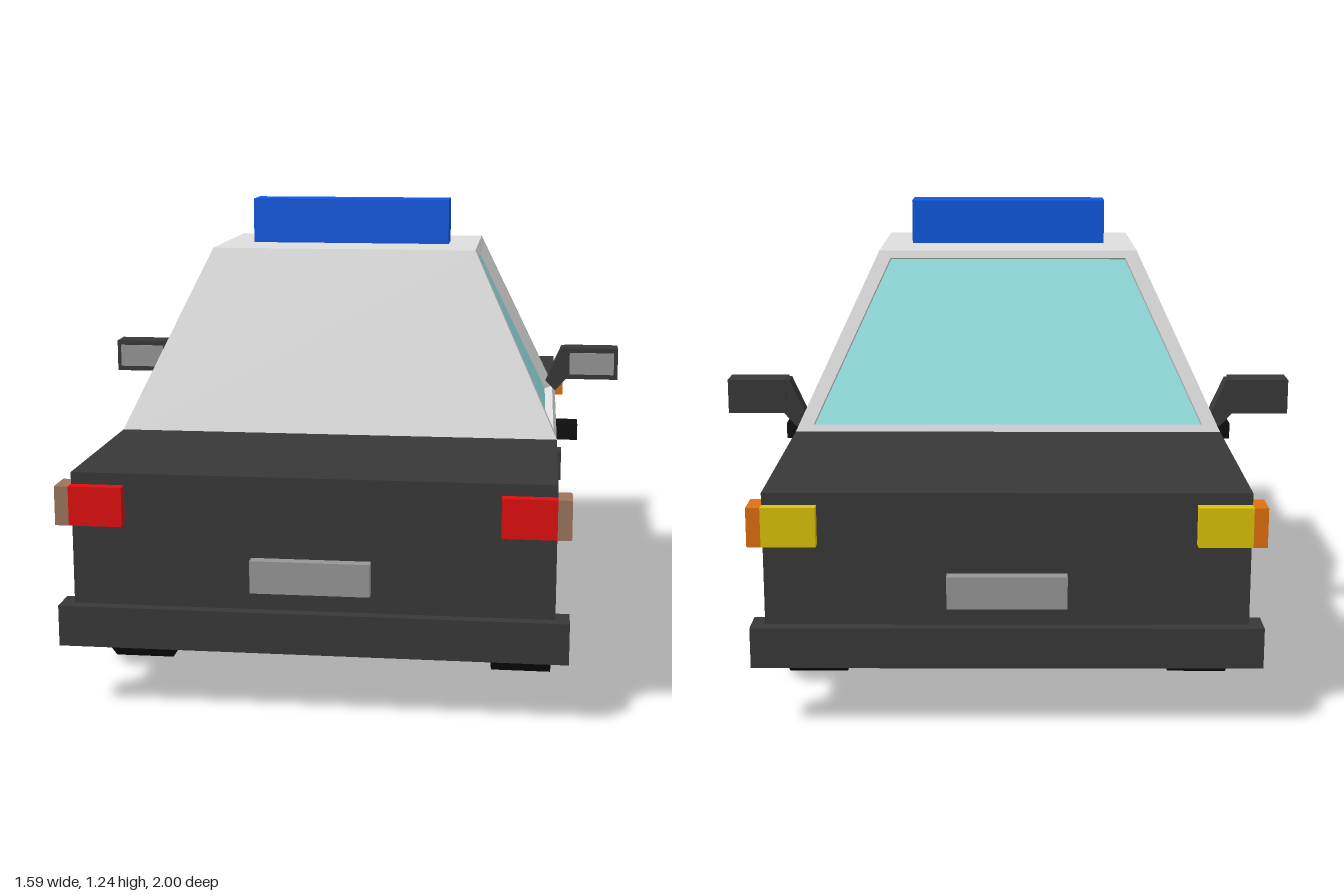
import * as THREE from 'three';

const mat = (name, color) => {
  const m = new THREE.MeshStandardMaterial({ color });
  m.name = name;
  return m;
};

export function createModel() {
  const car = new THREE.Group();
  car.name = 'patrolCar';
  const dark = mat('darkPaint', 0x383838), white = mat('whitePaint', 0xdedede);
  const glass = mat('windowGlass', 0x96e6e6), black = mat('tyreBlack', 0x0e0e0e);
  const red = mat('tailRed', 0xe00e0e), blue = mat('beaconBlue', 0x0e58e0);
  const orange = mat('indicatorOrange', 0xe0700e), yellow = mat('headlightYellow', 0xdcc408);
  const tan = mat('markerTan', 0x9c745c), grey = mat('plateGrey', 0x969696);

  const add = (name, geo, material) => {
    const m = new THREE.Mesh(geo, material);
    m.name = name;
    car.add(m);
    return m;
  };
  // Box given by its limits on each axis
  const box = (name, material, x0, x1, y0, y1, z0, z1) => {
    const g = new THREE.BoxGeometry(Math.abs(x1 - x0), y1 - y0, Math.abs(z1 - z0));
    g.translate((x0 + x1) / 2, (y0 + y1) / 2, (z0 + z1) / 2);
    return add(name, g, material);
  };
  const shape = pts => new THREE.Shape(pts.map(p => new THREE.Vector2(p[0], p[1])));
  // Side profile in (z, y), extruded across x from x0 to x1 on the given side
  const slab = (name, material, pts, side, x0, x1) => {
    const g = new THREE.ExtrudeGeometry(shape(pts), { depth: x1 - x0, bevelEnabled: false });
    g.rotateY(-Math.PI / 2);
    g.translate(side > 0 ? x1 : -x0, 0, 0);
    return add(name, g, material);
  };

  const W = 0.605, IN = 0.42, L = 0.97, FLOOR = 0.2, BELT = 0.61, AXLE = 0.535;

  // Wheel arch outline, running from +z to -z
  const arch = (zc, grow = 0) =>
    [[0.24, 0], [0.24, 0.1], [0.155, 0.225], [0, 0.275], [-0.155, 0.225], [-0.24, 0.1], [-0.24, 0]]
      .map(([z, y]) => [zc + z * (1 + grow), FLOOR + y * (1 + grow)]);
  const rearArch = arch(AXLE), frontArch = arch(-AXLE);

  // Lower body core and floor
  box('bodyCore', dark, -IN, IN, FLOOR, BELT, -L, L);
  box('floor', white, -IN, IN, FLOOR - 0.004, FLOOR, -L, L);

  for (const s of [1, -1]) {
    // Fenders and white door panel
    slab('rearFender', dark, [[L, FLOOR], [L, BELT], [0.45, BELT], ...rearArch.slice(0, 4).reverse()], s, IN, W);
    slab('door', white, [[0.45, BELT], ...rearArch.slice(3), ...frontArch.slice(0, 3).reverse()
      .reverse(), [-0.32, BELT]], s, IN, W);
    slab('frontFender', dark, [[-0.32, BELT], ...frontArch.slice(2), [-L, FLOOR], [-L, BELT]], s, IN, W);

    for (const e of [1, -1]) {
      const zc = e * AXLE;
      // Wheel well lining and underside strip at the bumper
      slab('wheelWellWall', white, arch(zc), s, IN, IN + 0.004);
      slab('wheelWellLiner', white, [...arch(zc), ...arch(zc, -0.015).reverse()], s, IN, W + 0.001);
      box('endFloor', white, s * IN, s * W, FLOOR - 0.004, FLOOR, e * 0.775, e * L);

      // Tyre
      const tyre = new THREE.CylinderGeometry(0.22, 0.22, 0.16, 10).toNonIndexed();
      tyre.computeVertexNormals();
      tyre.rotateZ(Math.PI / 2);
      tyre.translate(s * 0.52, 0.209, zc);
      add('tyre', tyre, black);

      // Five flared spokes and a hub cap
      const petal = [[-0.016, 0.05], [0.016, 0.05], [0.042, 0.14], [0.024, 0.165], [-0.024, 0.165], [-0.042, 0.14]];
      for (let i = 0; i < 5; i++) {
        const a = Math.PI + i * Math.PI * 2 / 5, c = Math.cos(a), n = Math.sin(a);
        slab('spoke', dark, petal.map(([x, y]) => [zc + x * c - y * n, 0.209 + x * n + y * c]), s, 0.599, 0.605);
      }
      const hub = [...Array(10).keys()].map(i => [zc + 0.028 * Math.cos(i * Math.PI / 5), 0.209 + 0.028 * Math.sin(i * Math.PI / 5)]);
      slab('hubCap', dark, hub, s, 0.599, 0.605);

      // Corner lamps with wrap-around markers
      box(e > 0 ? 'tailLight' : 'headlight', e > 0 ? red : yellow, s * 0.47, s * W, 0.48, 0.58, e * 0.965, e);
      box('sideMarker', e > 0 ? tan : orange, s * W, s * 0.64, 0.48, 0.58, e * 0.92, e);
    }

    // Door handle
    box('doorHandle', black, s * 0.6, s * 0.67, 0.523, 0.57, -0.04, 0.043);

    // Wing mirror: slanted stem, housing and reflector
    const stem = new THREE.ExtrudeGeometry(
      shape([[0.575, 0.65], [0.605, 0.62], [0.64, 0.66], [0.64, 0.755], [0.622, 0.755]].map(([x, y]) => [s * x, y])),
      { depth: 0.06, bevelEnabled: false });
    stem.translate(0, 0, -0.298);
    add('mirrorStem', stem, dark);
    box('mirrorHousing', dark, s * 0.632, s * 0.797, 0.66, 0.757, -0.302, -0.224);
    box('mirrorGlass', grey, s * 0.648, s * 0.785, 0.675, 0.743, -0.224, -0.22);
  }

  // Bumpers and plates at both ends
  for (const e of [1, -1]) {
    box('bumper', dark, -0.64, 0.64, 0.165, 0.27, e * 0.92, e);
    box('plate', grey, -0.15, 0.15, 0.32, 0.403, e * 0.965, e);
  }

  // Cabin built from four sloping panels, three with recessed windows
  const V = (x, y, z) => new THREE.Vector3(x, y, z);
  const base = [V(-W, BELT, 0.45), V(W, BELT, 0.45), V(W, BELT, -0.32), V(-W, BELT, -0.32)];
  const roof = [V(-0.37, 1.11, 0.303), V(0.37, 1.11, 0.303), V(0.37, 1.11, -0.173), V(-0.37, 1.11, -0.173)];
  const quads = (name, material, list) => {
    const pts = list.flatMap(([a, b, c, d]) => [a, b, c, a, c, d]);
    const g = new THREE.BufferGeometry().setFromPoints(pts);
    g.computeVertexNormals();
    return add(name, g, material);
  };
  quads('roof', white, [roof]);
  const names = ['rearPanel', 'leftWindow', 'windshield', 'rightWindow'];
  names.forEach((name, i) => {
    const j = (i + 1) % 4;
    const outer = [base[i], base[j], roof[j], roof[i]];
    if (i === 0) {
      quads(name, white, [outer]);
      return;
    }
    const across = base[j].clone().sub(base[i]).normalize();
    const normal = across.clone().cross(roof[i].clone().sub(base[i])).normalize();
    const at = (k, v, d) => base[k].clone().lerp(roof[k], v).addScaledVector(across, d);
    const hole = [at(i, 0.04, 0.042), at(j, 0.04, -0.042), at(j, 0.96, -0.042), at(i, 0.96, 0.042)];
    const pane = hole.map(p => p.clone().addScaledVector(normal, -0.025));
    const ring = (a, b) => a.map((p, k) => [p, a[(k + 1) % 4], b[(k + 1) % 4], b[k]]);
    quads(name + 'Frame', white, [...ring(outer, hole), ...ring(hole, pane)]);
    quads(name + 'Glass', glass, [pane]);
  });

  // Roof beacon
  box('beacon', blue, -0.285, 0.285, 1.11, 1.237, 0.012, 0.118);

  return car;
}
